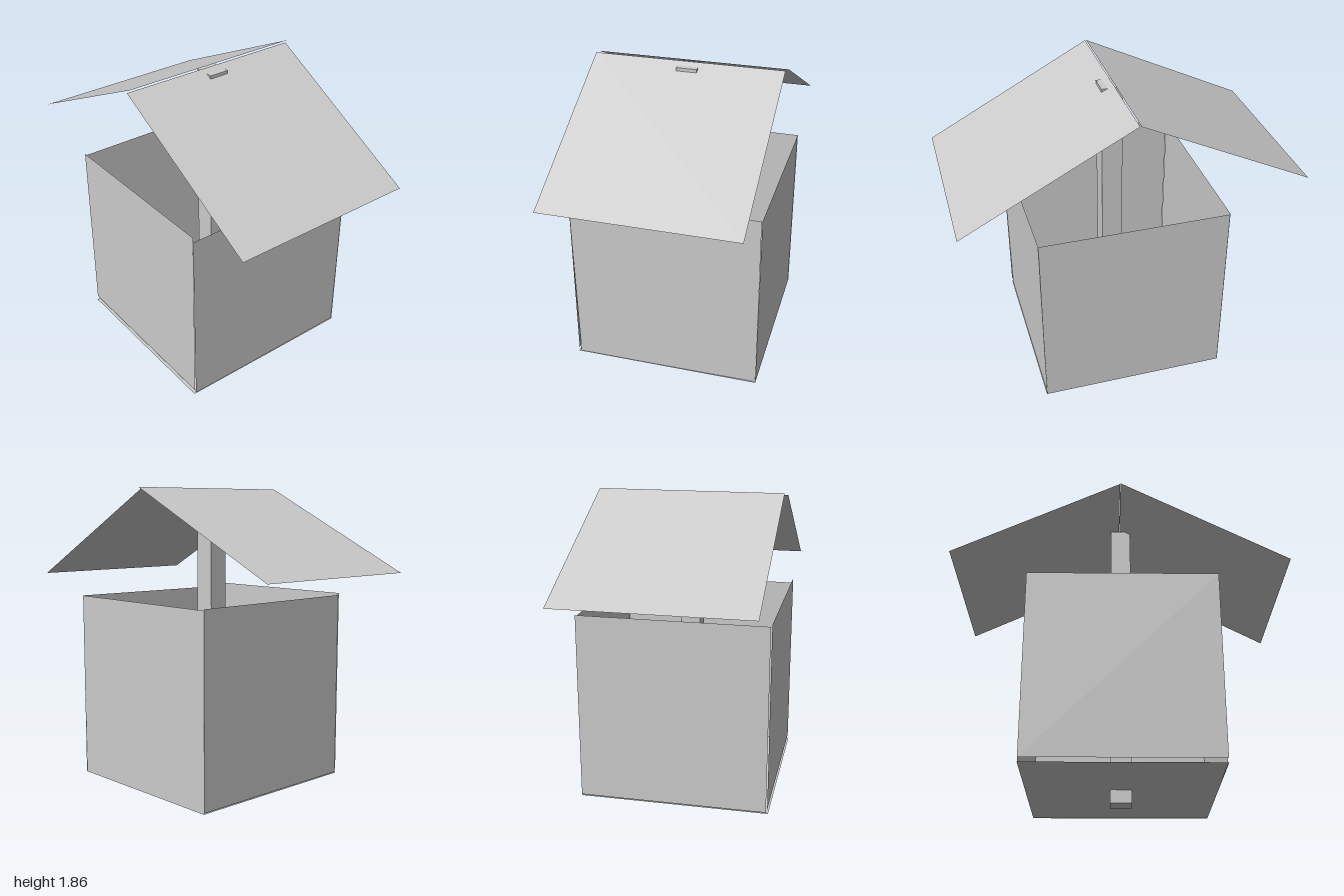
import * as THREE from 'three';

const sheet = new THREE.MeshStandardMaterial({ color: 0xcccccc, side: THREE.DoubleSide, flatShading: true });
const solid = new THREE.MeshStandardMaterial({ color: 0xcccccc, flatShading: true });

// Thin four-cornered panel, corners counter-clockwise seen from outside
function panel(name, a, b, c, d) {
  const geometry = new THREE.BufferGeometry();
  geometry.setAttribute('position', new THREE.Float32BufferAttribute([...a, ...b, ...c, ...d], 3));
  geometry.setIndex([0, 1, 2, 0, 2, 3]);
  geometry.computeVertexNormals();
  const mesh = new THREE.Mesh(geometry, sheet);
  mesh.name = name;
  return mesh;
}

export function createModel() {
  const group = new THREE.Group();
  group.name = 'birdhouse';

  // Square post running from the ground up through the floor and roof
  const post = new THREE.Mesh(new THREE.BoxGeometry(0.125, 1.834, 0.12), solid);
  post.name = 'post';
  post.position.set(0.0125, 0.917, 0);
  group.add(post);

  // Floor and four slightly misaligned walls, open at the top
  group.add(
    panel('floor', [-0.54, 0.078, -0.565], [0.575, 0.078, -0.565], [0.575, 0.078, 0.565], [-0.54, 0.078, 0.565]),
    panel('frontWall', [-0.54, 0.105, 0.56], [0.575, 0.105, 0.56], [0.575, 1.225, 0.56], [-0.54, 1.225, 0.56]),
    panel('backWall', [0.575, 0.075, -0.567], [-0.54, 0.075, -0.567], [-0.54, 1.205, -0.567], [0.575, 1.205, -0.567]),
    panel('leftWall', [0.57, 0.075, 0.55], [0.57, 0.083, -0.57], [0.575, 1.206, -0.563], [0.575, 1.195, 0.56]),
    panel('rightWall', [-0.54, 0.085, -0.57], [-0.54, 0.085, 0.553], [-0.54, 1.213, 0.553], [-0.54, 1.213, -0.57])
  );

  // Two roof panels meeting near the ridge
  group.add(
    panel('leftRoof', [0.005, 1.852, 0.568], [1, 1.322, 0.568], [1, 1.322, -0.554], [0.005, 1.852, -0.554]),
    panel('rightRoof', [-1, 1.375, 0.547], [0.003, 1.862, 0.547], [0.003, 1.862, -0.572], [-1, 1.375, -0.572])
  );
  return group;
}
